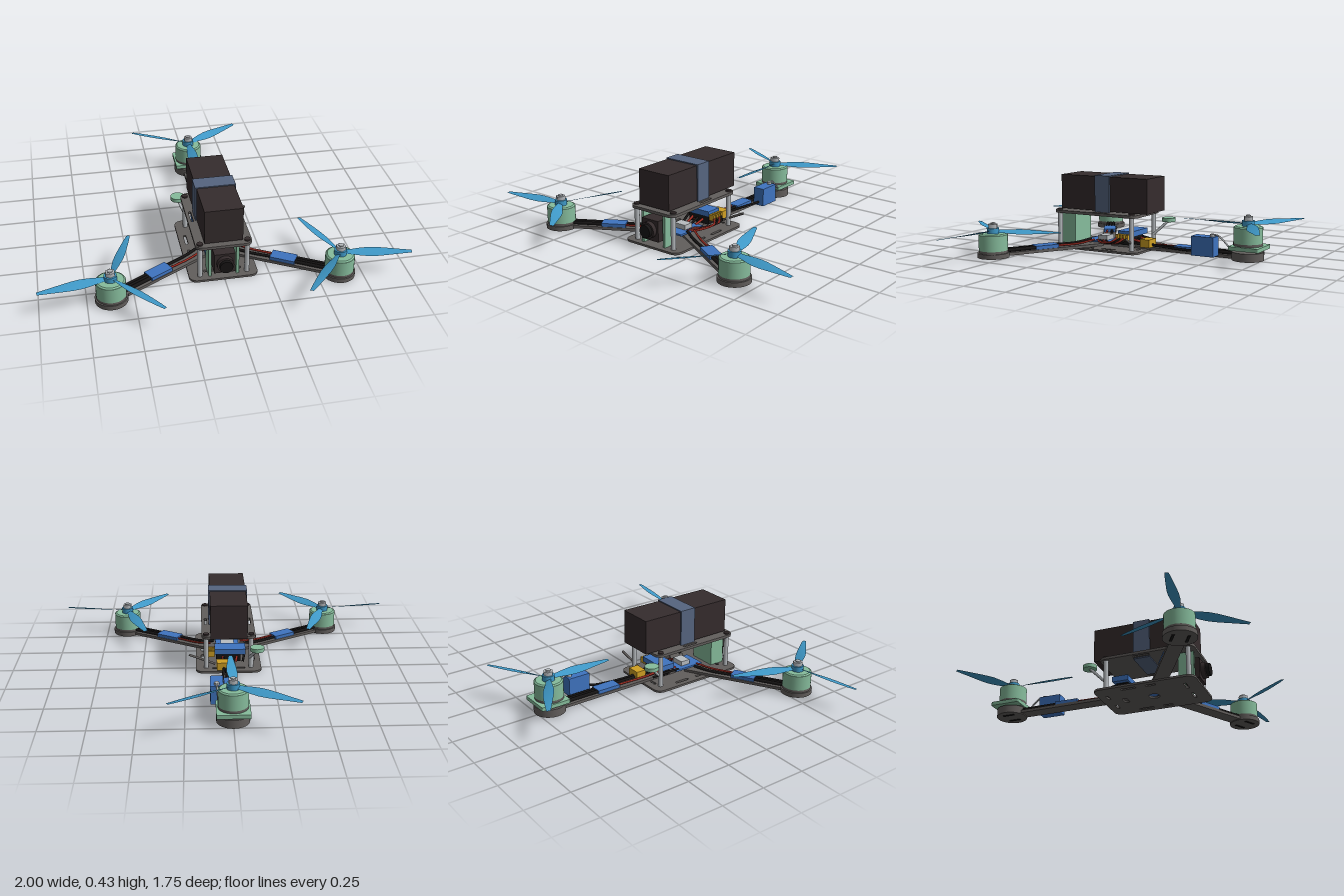
import * as THREE from 'three';

const mat = (name, color, side = THREE.FrontSide) => {
  const m = new THREE.MeshStandardMaterial({ color, side });
  m.name = name;
  return m;
};

export function createModel() {
  const frame = mat('frame grey', 0x625e5c), dark = mat('battery black', 0x352c2d);
  const green = mat('motor green', 0x86bc9c), propBlue = mat('propeller blue', 0x3f99c8, THREE.DoubleSide);
  const blue = mat('electronics blue', 0x3f74c0), strapMat = mat('strap slate', 0x566580);
  const yellow = mat('connector yellow', 0xd0a024), metal = mat('metal', 0xb8bcc0);
  const red = mat('red wire', 0xa02c22), black = mat('wire black', 0x161414);

  const root = new THREE.Group();
  root.name = 'tricopter';

  const add = (parent, name, geo, material, x = 0, y = 0, z = 0) => {
    const m = new THREE.Mesh(geo, material);
    m.name = name;
    m.position.set(x, y, z);
    parent.add(m);
    return m;
  };
  // Box given by its min and max corners
  const box = (parent, name, material, x0, x1, y0, y1, z0, z1) =>
    add(parent, name, new THREE.BoxGeometry(x1 - x0, y1 - y0, z1 - z0), material,
      (x0 + x1) / 2, (y0 + y1) / 2, (z0 + z1) / 2);
  // Upright cylinder between two heights
  const cyl = (parent, name, material, r, y0, y1, x = 0, z = 0, sides = 32, rTop = r) =>
    add(parent, name, new THREE.CylinderGeometry(rTop, r, y1 - y0, sides), material, x, (y0 + y1) / 2, z);
  // Wire or rod through a few points
  const wire = (parent, name, material, r, ...pts) =>
    add(parent, name, new THREE.TubeGeometry(
      new THREE.CatmullRomCurve3(pts.map(p => new THREE.Vector3(...p))), 5 * pts.length, r, 8), material);

  const roundRect = (path, x, y, w, h, r) => {
    path.absarc(x + w / 2 - r, y + h / 2 - r, r, 0, Math.PI / 2);
    path.absarc(x - w / 2 + r, y + h / 2 - r, r, Math.PI / 2, Math.PI);
    path.absarc(x - w / 2 + r, y - h / 2 + r, r, Math.PI, Math.PI * 1.5);
    path.absarc(x + w / 2 - r, y - h / 2 + r, r, Math.PI * 1.5, Math.PI * 2);
    path.closePath();
    return path;
  };
  // Flat plate with rounded corners; each hole is [x, z, width, depth]
  const plate = (parent, name, material, x, z, w, d, r, y0, y1, holes = []) => {
    const s = roundRect(new THREE.Shape(), x, z, w, d, r);
    for (const [hx, hz, hw, hd] of holes)
      s.holes.push(roundRect(new THREE.Path(), hx, hz, hw, hd, Math.min(hw, hd) * 0.45));
    const g = new THREE.ExtrudeGeometry(s, { depth: y1 - y0, bevelEnabled: false, curveSegments: 8 });
    g.rotateX(Math.PI / 2);
    return add(parent, name, g, material, 0, y1, 0);
  };

  // Propeller blade: a strip widened and twisted along its length
  const widths = [0.026, 0.034, 0.05, 0.061, 0.06, 0.052, 0.042, 0.032, 0.02];
  const bladeGeometry = (hand) => {
    const n = widths.length - 1, g = new THREE.PlaneGeometry(1, 1, n, 2);
    const p = g.attributes.position;
    for (let i = 0; i < p.count; i++) {
      const t = p.getX(i) + 0.5, v = p.getY(i), w = widths[Math.round(t * n)];
      const a = hand * (0.45 - 0.33 * t);
      p.setXYZ(i, 0.015 + 0.37 * t, v * w * Math.sin(a) + (v === 0 ? 0.002 : 0), -v * w * Math.cos(a));
    }
    g.computeVertexNormals();
    return g;
  };

  // Motor with propeller; y is the motor's underside
  const motor = (name, x, y, z, firstBlade, hand) => {
    const g = new THREE.Group();
    g.name = name;
    g.position.set(x, y, z);
    root.add(g);
    cyl(g, 'motorBase', frame, 0.08, 0, 0.014);
    cyl(g, 'motorBell', green, 0.08, 0.014, 0.1);
    cyl(g, 'motorCap', green, 0.078, 0.1, 0.106, 0, 0, 32, 0.07);
    cyl(g, 'propellerHub', propBlue, 0.034, 0.106, 0.136, 0, 0, 24);
    cyl(g, 'propellerNut', metal, 0.027, 0.136, 0.158, 0, 0, 6);
    cyl(g, 'motorShaft', metal, 0.014, 0.158, 0.165, 0, 0, 16);
    for (let i = 0; i < 3; i++)
      add(g, 'propellerBlade', bladeGeometry(hand), propBlue, 0, 0.118, 0)
        .rotation.y = firstBlade + i * Math.PI * 2 / 3;
  };

  // Arm along local +x from the hub, with speed controller and wires
  const arm = (name, angle, length, escAt, discTop) => {
    const g = new THREE.Group();
    g.name = name;
    g.position.set(0, 0, 0.217);
    g.rotation.y = angle;
    root.add(g);
    box(g, 'armBeam', frame, 0.05, length - 0.05, 0.009, 0.026, -0.04, 0.04);
    cyl(g, 'motorMountDisc', frame, 0.088, 0.004, discTop, length);
    for (const s of [-1, 1])
      box(g, 'mountSlot', black, length - 0.035, length + 0.035, 0.001, 0.005, s * 0.04 - 0.007, s * 0.04 + 0.007);
    box(g, 'speedController', blue, escAt - 0.07, escAt + 0.07, 0.026, 0.046, -0.036, 0.036);
    for (const z of [-0.018, 0, 0.018])
      wire(g, 'phaseWire', black, 0.01, [escAt + 0.06, 0.036, z], [escAt + 0.13, 0.036, z], [length - 0.06, 0.036, z]);
    wire(g, 'powerWireRed', red, 0.006, [0.1, 0.05, -0.02], [0.2, 0.036, -0.018], [escAt - 0.06, 0.036, -0.015]);
    wire(g, 'powerWireBlack', black, 0.008, [0.1, 0.05, 0.02], [0.2, 0.036, 0.018], [escAt - 0.06, 0.036, 0.015]);
  };

  // Body plates with slots
  const slots = [[0, 0.22, 0.06, 0.06], [0, 0.05, 0.06, 0.03]];
  for (const s of [-1, 1])
    slots.push([s * 0.15, 0.12, 0.016, 0.09], [s * 0.15, 0.25, 0.016, 0.06],
      [s * 0.07, 0.43, 0.07, 0.016], [s * 0.07, -0.03, 0.05, 0.016]);
  plate(root, 'bottomPlate', frame, 0, 0.215, 0.38, 0.59, 0.045, 0, 0.012, slots);
  plate(root, 'topPlate', frame, 0, 0.222, 0.31, 0.555, 0.04, 0.2, 0.216,
    [[-0.13, 0.19, 0.014, 0.1], [0.13, 0.19, 0.014, 0.1]]);
  for (const x of [-0.13, 0.13])
    for (const z of [-0.02, 0.465]) {
      cyl(root, 'standoff', metal, 0.014, 0.012, 0.2, x, z, 16);
      cyl(root, 'standoffScrew', dark, 0.017, 0.216, 0.224, x, z, 16);
    }

  // Battery and strap
  box(root, 'battery', dark, -0.105, 0.105, 0.222, 0.422, -0.105, 0.47);
  box(root, 'strapTop', strapMat, -0.113, 0.113, 0.422, 0.428, 0.138, 0.235);
  box(root, 'strapBottom', strapMat, -0.113, 0.113, 0.193, 0.199, 0.138, 0.235);
  for (const s of [-1, 1])
    box(root, 'strapSide', strapMat, s * 0.109 - 0.004, s * 0.109 + 0.004, 0.193, 0.428, 0.138, 0.235);

  // Arms and motors
  const left = { x: 0.62, z: 0.575 };
  arm('leftArm', -Math.PI / 6, 0.716, 0.404, 0.03);
  arm('rightArm', -Math.PI * 5 / 6, 0.716, 0.404, 0.03);
  arm('rearArm', Math.PI / 2, 0.892, 0.525, 0.05);
  motor('leftMotor', left.x, 0.03, left.z, -0.17, 1);
  motor('rightMotor', -left.x, 0.03, left.z, Math.PI + 0.17, -1);
  motor('rearMotor', 0, 0.084, -0.675, -Math.PI / 2, 1);

  // Tilting tail mount and its servo
  plate(root, 'tiltPlate', green, 0, -0.682, 0.178, 0.175, 0.006, 0.062, 0.084);
  for (const z of [-0.62, -0.74]) box(root, 'tiltHinge', frame, -0.03, 0.03, 0.045, 0.064, z - 0.015, z + 0.015);
  box(root, 'servo', blue, 0.045, 0.115, 0.02, 0.128, -0.52, -0.388);
  cyl(root, 'servoHorn', metal, 0.014, 0.128, 0.142, 0.08, -0.5, 16);
  wire(root, 'pushRod', metal, 0.005, [0.08, 0.138, -0.5], [0.08, 0.135, -0.535], [0.075, 0.075, -0.6]);
  wire(root, 'servoWire', black, 0.007, [0.08, 0.04, -0.39], [0.06, 0.035, -0.33], [0.03, 0.04, -0.1], [0.03, 0.06, 0]);

  // Camera with its frame
  for (const s of [-1, 1])
    box(root, 'cameraBracket', green, s * 0.076 - 0.008, s * 0.076 + 0.008, 0.012, 0.195, 0.395, 0.48);
  box(root, 'cameraBackPlate', green, -0.084, 0.084, 0.012, 0.195, 0.39, 0.402);
  box(root, 'cameraBody', dark, -0.058, 0.058, 0.045, 0.165, 0.402, 0.505);
  for (const [r, z0, z1, m] of [[0.046, 0.505, 0.53, dark], [0.036, 0.53, 0.55, black]])
    add(root, 'cameraLens', new THREE.CylinderGeometry(r, r, z1 - z0, 24), m, 0, 0.108, (z0 + z1) / 2)
      .rotation.x = Math.PI / 2;

  // Flight electronics between the plates
  box(root, 'powerBoard', blue, -0.07, 0.07, 0.03, 0.04, 0.14, 0.33);
  box(root, 'powerModule', metal, -0.04, 0.04, 0.04, 0.068, 0.2, 0.26);
  box(root, 'controllerTray', black, -0.07, 0.07, 0.03, 0.08, 0.02, 0.09);
  box(root, 'flightController', blue, -0.1, 0.08, 0.08, 0.112, 0.005, 0.1);
  box(root, 'batteryConnector', yellow, -0.01, 0.07, 0.026, 0.072, -0.1, -0.04);
  for (let i = 0; i < 4; i++) {
    const z = 0.015 + i * 0.022;
    box(root, 'pinHeader', yellow, 0.08, 0.115, 0.06, 0.095, z, z + 0.014);
    wire(root, 'signalWire', i % 2 ? red : black, 0.006,
      [0.11, 0.075, z + 0.007], [0.13, 0.055, z + 0.03], [0.09, 0.035, 0.14 + i * 0.02], [0.05, 0.04, 0.2 + i * 0.02]);
    wire(root, 'batteryWire', i % 2 ? red : black, 0.007,
      [-0.08 + i * 0.04, 0.05, -0.04], [-0.09 + i * 0.04, 0.06, 0.05], [-0.06 + i * 0.03, 0.04, 0.16]);
  }

  // Antennas
  wire(root, 'antennaStem', metal, 0.008, [-0.12, 0.07, -0.02], [-0.14, 0.11, -0.06], [-0.16, 0.155, -0.105]);
  cyl(root, 'antennaCap', green, 0.04, 0.15, 0.172, -0.16, -0.105, 24);
  wire(root, 'receiverAntenna', frame, 0.007, [0.08, 0.03, -0.01], [0.14, 0.058, -0.018], [0.23, 0.1, -0.035]);

  return root;
}
